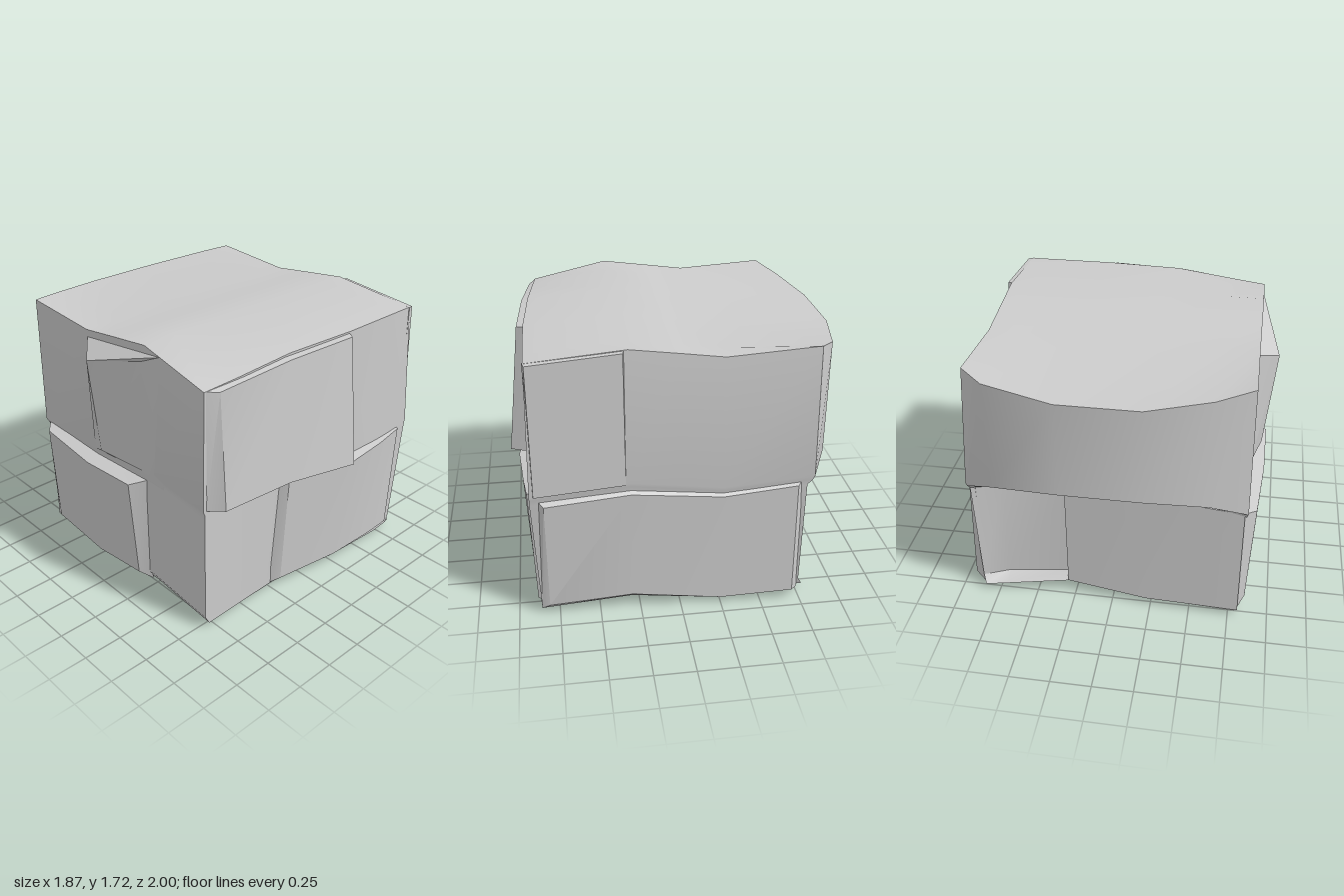
import * as THREE from 'three';
import { toCreasedNormals } from 'three/addons/utils/BufferGeometryUtils.js';

const material = new THREE.MeshStandardMaterial({ color: 0xcccccc });

// Box whose grid vertices are placed by a rule: place(i, j, k) -> [x, y, z]
function gridBox(name, nx, ny, nz, place, turn = 0) {
  const g = new THREE.BoxGeometry(1, 1, 1, nx, ny, nz);
  const p = g.attributes.position;
  for (let n = 0; n < p.count; n++) {
    const i = Math.round((p.getX(n) + 0.5) * nx);
    const j = Math.round((p.getY(n) + 0.5) * ny);
    const k = Math.round((p.getZ(n) + 0.5) * nz);
    p.setXYZ(n, ...place(i, j, k));
  }
  g.rotateY(turn);
  const mesh = new THREE.Mesh(toCreasedNormals(g, 0.45), material);
  mesh.name = name;
  return mesh;
}

// Wavy block: columns along x, levels along y, rows along z
const columns = [-0.82, -0.6, -0.22, 0.27, 0.7, 0.85];
const bulge = [0, 0.5, 1, 1, 0.5, 0];
const seamWave = [0, 0.01, 0.02, -0.03, -0.01, 0];
const lowerFront = [0.79, 0.785, 0.775, 0.85, 0.87, 0.86];
const seamFront = [0.79, 0.8, 0.81, 0.88, 0.89, 0.89];
const topFront = [0.79, 0.81, 0.84, 0.87, 0.87, 0.87];
const topDrop = [0.06, 0.04, 0, 0, 0, 0];
const lipBack = [-0.79, -0.78, -0.76, -0.71, -0.76, -0.79];
const recessBack = [-0.74, -0.7, -0.67, -0.67, -0.69, -0.76];
const upperBack = [-0.8, -0.9, -1, -1, -0.9, -0.8];
const rows = [-0.8, -0.25, 0, 0.3, 0.87];
const rowWave = [0.01, -0.025, 0.01, 0.05, 0];
const levels = [
  { y: 0.035, left: -0.79, right: 0.84, front: lowerFront, back: lipBack },
  { y: 0.09, left: -0.82, right: 0.86, front: lowerFront, back: recessBack },
  { y: 0.8, left: -0.82, right: 0.885, front: seamFront, back: recessBack },
  { y: 0.835, left: -0.82, right: 0.89, front: seamFront, back: lipBack },
  { y: 0.86, left: -0.83, right: 0.895, front: seamFront, back: upperBack },
  { y: 1.67, left: -0.82, right: 0.84, front: topFront, back: upperBack },
];

function placeCore(i, j, k) {
  const L = levels[j];
  const x = i === 0 ? L.left : i === 5 ? L.right : columns[i];
  let y = L.y + rowWave[k];
  let z = rows[k];
  if (k === 4) {
    z = L.front[i];
    if (j === 5) y -= topDrop[i];
    if (j > 1 && j < 5) y += seamWave[i];
  }
  if (k === 0) {
    z = L.back[i];
    if (j < 2 && i === 3) y += 0.04;
    if (j > 1 && j < 5 && i === 0) y -= 0.04;
    // overhanging swell of the upper course at the back
    if (j > 3) y += (j === 4 ? 0.13 : -0.07) * bulge[i];
  }
  return [x, y, z];
}

// Raised stone face. Each node: [across, yBottom, yTop, depthBottom, depthTop]
function facing(name, turn, nodes, base, flareU = 0.05, flareY = 0.03) {
  const n = nodes.length - 1;
  return gridBox(name, n, 1, 1, (i, j, k) => {
    const [u, y0, y1, d0, d1] = nodes[i];
    if (k === 1) return [u, j ? y1 : y0, j ? d1 : d0];
    const side = i === 0 ? -1 : i === n ? 1 : 0;
    return [u + side * flareU, j ? y1 + flareY : y0 - flareY, base];
  }, turn);
}

export function createModel() {
  const group = new THREE.Group();
  group.name = 'stoneBlock';
  const R = Math.PI / 2;
  group.add(
    gridBox('core', 5, 5, 4, placeCore),
    // front
    facing('frontUpperStone', 0, [
      [-0.74, 0.87, 1.6, 0.88, 0.83],
      [-0.25, 0.87, 1.65, 0.92, 0.88],
      [0.235, 0.83, 1.655, 1.0, 0.91]], 0.79, 0.07, 0.01),
    facing('frontLowerStone', 0, [
      [-0.2, 0.075, 0.83, 0.82, 0.86],
      [0.25, 0.075, 0.8, 0.885, 0.95],
      [0.6, 0.075, 0.81, 0.89, 0.925],
      [0.8, 0.075, 0.83, 0.88, 0.905]], 0.78, 0.05, 0.03),
    // +x side
    facing('rightUpperStone', R, [
      [-0.865, 0.86, 1.665, 0.905, 0.87],
      [-0.33, 0.9, 1.71, 0.9, 0.87]], 0.83, 0.01, 0.005),
    facing('rightLowerStone', R, [
      [-0.81, 0.07, 0.8, 0.88, 0.92],
      [-0.3, 0.11, 0.84, 0.89, 0.91],
      [0.25, 0.04, 0.78, 0.905, 0.91],
      [0.7, 0.07, 0.82, 0.93, 0.91]], 0.855, 0.05, 0.035),
    // -x side
    facing('leftUpperStone', -R, [
      [-0.1, 0.9, 1.53, 0.88, 0.94],
      [0.28, 0.9, 1.62, 0.84, 0.835]], 0.82, 0.15, 0.07),
    facing('leftLowerStone', -R, [
      [-0.7, 0.1, 0.79, 0.85, 0.88],
      [-0.22, 0.07, 0.77, 0.86, 0.91],
      [0.2, 0.12, 0.8, 0.86, 0.91]], 0.81, 0.08, 0.03),
    // back
    facing('backLowerStone', 2 * R, [
      [-0.3, 0.09, 0.87, 0.72, 0.72],
      [0.22, 0.05, 0.87, 0.77, 0.77],
      [0.81, 0.05, 0.82, 0.79, 0.79]], 0.62, 0, 0),
  );
  return group;
}
